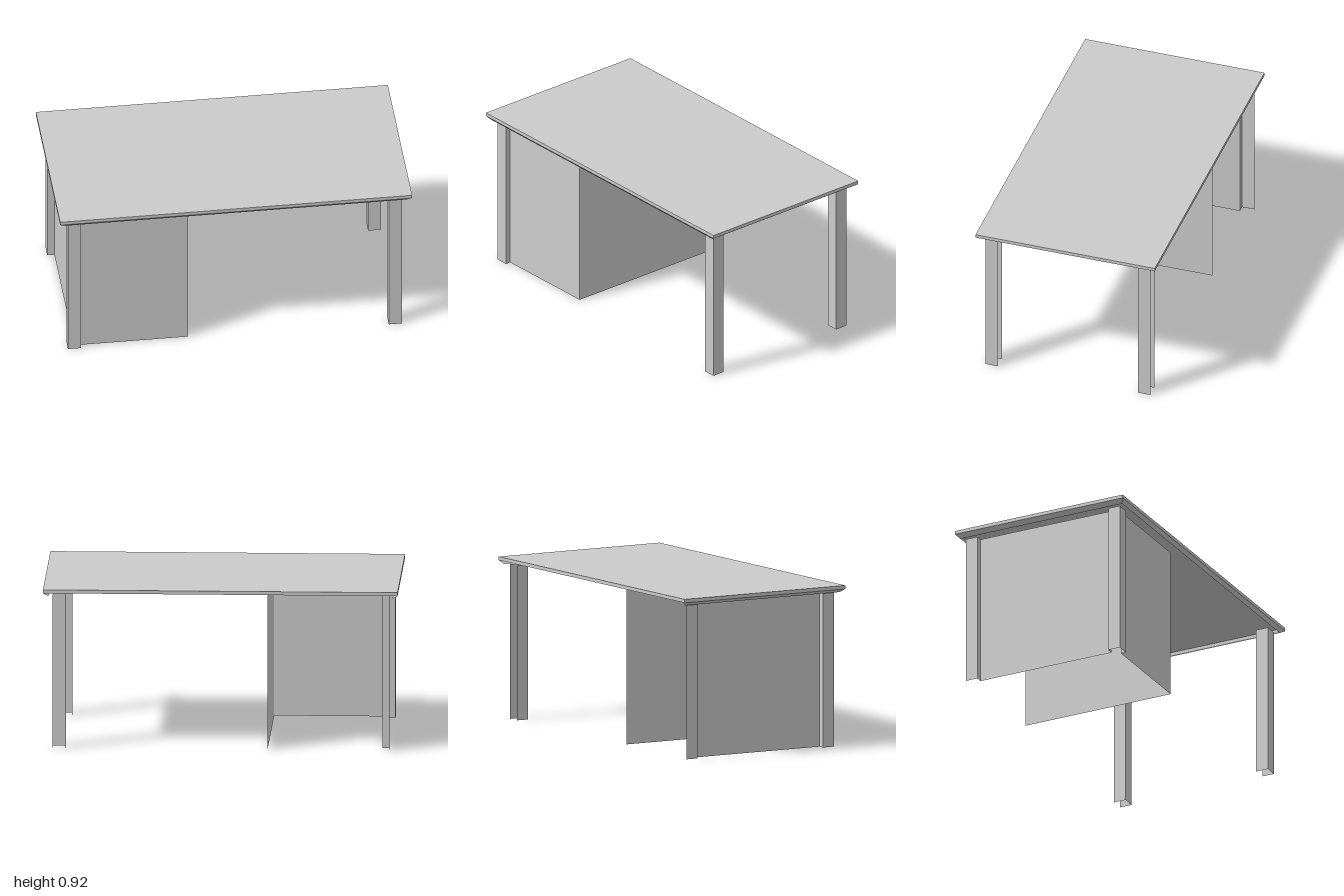
import * as THREE from 'three';

const LEG_HEIGHT = 0.88;

const sheet = new THREE.MeshStandardMaterial({
  color: 0xcccccc, flatShading: true, side: THREE.DoubleSide
});

// Mesh from four-cornered faces
function quadMesh(name, quads) {
  const positions = quads.flatMap(([a, b, c, d]) => [a, b, c, a, c, d].flat());
  const geometry = new THREE.BufferGeometry();
  geometry.setAttribute('position', new THREE.Float32BufferAttribute(positions, 3));
  geometry.computeVertexNormals();
  const mesh = new THREE.Mesh(geometry, sheet);
  mesh.name = name;
  return mesh;
}

// Upright thin sheet following a floor path of [x, z] points
function foldedSheet(name, path) {
  const quads = path.slice(1).map(([bx, bz], i) => {
    const [ax, az] = path[i];
    return [[ax, 0, az], [bx, 0, bz], [bx, LEG_HEIGHT, bz], [ax, LEG_HEIGHT, az]];
  });
  return quadMesh(name, quads);
}

// Hollow top: upright rim all round, bevelled lip on the front and both ends
function tableTop() {
  const ring = (y, x, z) => [[-x, y, z], [x, y, z], [x, y, -z], [-x, y, -z]];
  const top = ring(0.92, 1, 0.531);
  const rim = ring(0.9, 1, 0.531);
  const lip = ring(0.88, 0.97, 0.513);
  const band = (low, high, i) => {
    const j = (i + 1) % 4;
    return [low[i], low[j], high[j], high[i]];
  };
  const group = new THREE.Group();
  group.name = 'tableTop';
  group.add(
    quadMesh('topPanel', [top]),
    quadMesh('rim', [0, 1, 2, 3].map((i) => band(rim, top, i))),
    quadMesh('bevelledLip', [0, 1, 3].map((i) => band(lip, rim, i)))
  );
  return group;
}

export function createModel() {
  const group = new THREE.Group();
  group.name = 'desk';
  group.add(tableTop());

  // Channel legs on the open side, open toward the back
  for (const [name, z] of [['frontLeg', 0.451], ['backLeg', -0.451]]) {
    group.add(foldedSheet(name, [
      [0.873, z - 0.037], [0.873, z + 0.037], [0.947, z + 0.037], [0.947, z - 0.037]
    ]));
  }

  // Cabinet shell: back leg, side panel, front leg, front panel, inner panel
  const cabinet = new THREE.Group();
  cabinet.name = 'cabinet';
  cabinet.add(
    foldedSheet('cabinetBackLeg', [[-0.95, -0.488], [-0.95, -0.415], [-0.91, -0.415]]),
    foldedSheet('sidePanel', [[-0.91, -0.415], [-0.91, 0.415]]),
    foldedSheet('cabinetFrontLeg', [
      [-0.91, 0.415], [-0.95, 0.415], [-0.95, 0.488], [-0.875, 0.488], [-0.875, 0.457]
    ]),
    foldedSheet('frontPanel', [[-0.875, 0.457], [-0.265, 0.457]]),
    foldedSheet('innerPanel', [[-0.265, 0.457], [-0.265, -0.463]])
  );
  group.add(cabinet);

  return group;
}
